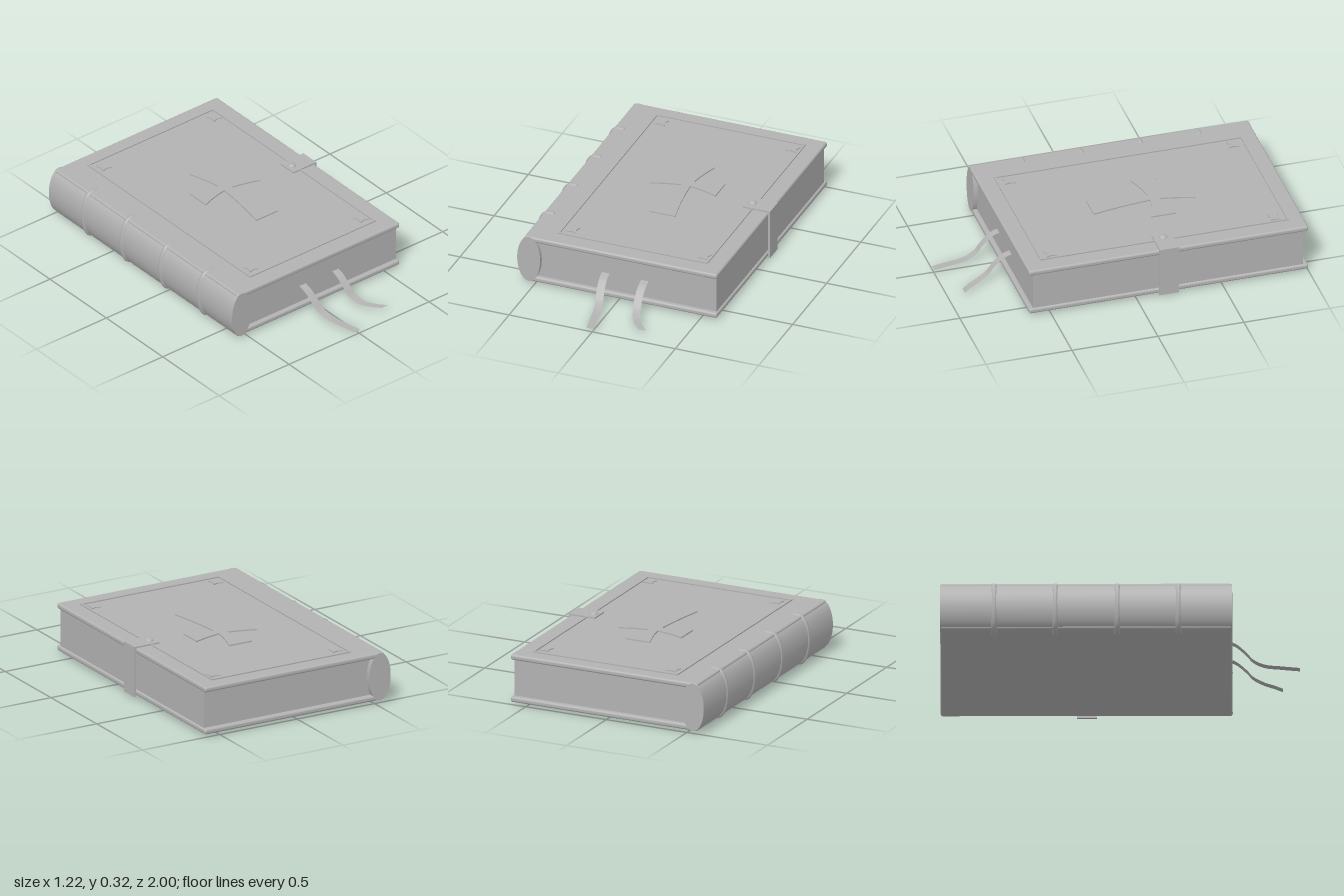
import * as THREE from 'three';
import { RoundedBoxGeometry } from 'three/addons/geometries/RoundedBoxGeometry.js';

export function createModel() {
  const book = new THREE.Group();
  book.name = 'book';
  const grey = new THREE.MeshStandardMaterial({ color: 0xb2b2b2, side: THREE.DoubleSide });
  grey.name = 'plain grey';

  const add = (name, geometry, x = 0, y = 0, z = 0) => {
    const mesh = new THREE.Mesh(geometry, grey);
    mesh.name = name;
    mesh.position.set(x, y, z);
    book.add(mesh);
    return mesh;
  };
  // Box given by its limits, with rounded edges when r > 0
  const block = (name, [x0, x1], [y0, y1], [z0, z1], r = 0) => {
    const size = [x1 - x0, y1 - y0, z1 - z0];
    const geometry = r ? new RoundedBoxGeometry(...size, 3, r) : new THREE.BoxGeometry(...size);
    return add(name, geometry, (x0 + x1) / 2, (y0 + y1) / 2, (z0 + z1) / 2);
  };
  // Flat plate lying on the cover; outline is given in (x, -z)
  const coverTop = 0.292;
  const plate = (name, shape, height, x = 0, z = 0) => {
    const geometry = new THREE.ExtrudeGeometry(shape, { depth: height, bevelEnabled: false, curveSegments: 8 });
    return add(name, geometry.rotateX(-Math.PI / 2), x, coverTop, z);
  };

  // Covers and page block
  block('bottomCover', [-0.565, 0.595], [0.013, 0.045], [-1, 0.625], 0.012);
  block('topCover', [-0.565, 0.595], [0.261, 0.293], [-1, 0.625], 0.012);
  block('pages', [-0.54, 0.585], [0.04, 0.265], [-0.97, 0.6]);

  // Oval spine
  const spine = new THREE.CylinderGeometry(1, 1, 1.625, 48).rotateX(Math.PI / 2).scale(0.069, 0.14, 1);
  add('spine', spine, -0.536, 0.152, -0.1875);

  // Raised bands wrapping the spine onto both covers
  const bandPoints = [new THREE.Vector3(-0.508, 0.282, 0)];
  for (let i = 0; i <= 12; i++) {
    const a = Math.PI / 2 + (i / 12) * Math.PI;
    bandPoints.push(new THREE.Vector3(-0.54 + 0.052 * Math.cos(a), 0.15 + 0.132 * Math.sin(a), 0));
  }
  bandPoints.push(new THREE.Vector3(-0.508, 0.018, 0));
  const bandPath = new THREE.CatmullRomCurve3(bandPoints);
  const bandGeometry = new THREE.TubeGeometry(bandPath, 48, 0.018, 12);
  for (const z of [-0.7, -0.36, -0.015, 0.325]) {
    add('spineBand', bandGeometry, 0, 0, z);
    for (const p of [bandPoints[0], bandPoints.at(-1)]) {
      add('spineBandEnd', new THREE.SphereGeometry(0.018, 12, 8).scale(0.4, 1, 1), p.x, p.y, z);
    }
  }

  // Narrow border frame
  const rect = (T, x0, x1, y0, y1) => {
    const s = new T();
    s.moveTo(x0, y0).lineTo(x1, y0).lineTo(x1, y1).lineTo(x0, y1).closePath();
    return s;
  };
  const frame = rect(THREE.Shape, -0.4, 0.5, -0.53, 0.915);
  frame.holes.push(rect(THREE.Path, -0.39, 0.49, -0.52, 0.905));
  plate('borderFrame', frame, 0.008);

  // Flared cross: each arm widens in a gentle curve towards its end
  const cross = new THREE.Shape();
  const waist = 0.026;
  const arms = [[0.196, 0.072], [0.222, 0.074], [0.196, 0.072], [0.37, 0.076]];
  cross.moveTo(waist, -waist);
  arms.forEach(([length, half], i) => {
    const a = (i * Math.PI) / 2;
    const turn = (u, v) => [u * Math.cos(a) - v * Math.sin(a), u * Math.sin(a) + v * Math.cos(a)];
    const mid = length * 0.55;
    cross.quadraticCurveTo(...turn(mid, -half * 0.52), ...turn(length, -half));
    cross.lineTo(...turn(length, half));
    cross.quadraticCurveTo(...turn(mid, half * 0.52), ...turn(waist, waist));
  });
  plate('cross', cross, 0.009, 0.058, -0.26);

  // Four-pointed corner stars with diagonal points
  const star = new THREE.Shape();
  for (let i = 0; i < 8; i++) {
    const r = i % 2 ? 0.021 : 0.044;
    const a = Math.PI / 4 + (i * Math.PI) / 4;
    star[i ? 'lineTo' : 'moveTo'](r * Math.cos(a), r * Math.sin(a));
  }
  star.closePath();
  for (const x of [-0.338, 0.452]) {
    for (const z of [-0.842, 0.46]) plate('cornerStar', star, 0.007, x, z);
  }

  // Clasp: strap down the fore edge, tab on the cover and a stud
  block('claspStrap', [0.594, 0.606], [0.006, 0.302], [-0.242, -0.13]);
  block('claspTab', [0.443, 0.606], [0.29, 0.302], [-0.246, -0.132]);
  const stud = new THREE.SphereGeometry(0.024, 20, 8, 0, Math.PI * 2, 0, Math.PI / 2).scale(1, 0.6, 1);
  add('claspStud', stud, 0.478, 0.301, -0.189);

  // Ribbon bookmarks: a flat strip swept along a curve
  const ribbon = (points) => {
    const path = new THREE.CatmullRomCurve3(points.map((p) => new THREE.Vector3(...p)));
    const geometry = new THREE.PlaneGeometry(0.046, 1, 1, 32);
    const pos = geometry.attributes.position;
    for (let i = 0; i < pos.count; i++) {
      const p = path.getPoint(0.5 - pos.getY(i));
      pos.setXYZ(i, pos.getX(i) + p.x, p.y, p.z);
    }
    geometry.computeVertexNormals();
    add('ribbonBookmark', geometry);
  };
  ribbon([[-0.082, 0.153, 0.59], [-0.08, 0.133, 0.645], [-0.072, 0.082, 0.705],
    [-0.064, 0.046, 0.74], [-0.05, 0.022, 0.8], [-0.032, 0.018, 0.9], [-0.012, 0.018, 1]]);
  ribbon([[0.153, 0.153, 0.59], [0.153, 0.133, 0.645], [0.156, 0.082, 0.705],
    [0.163, 0.046, 0.74], [0.185, 0.022, 0.8], [0.222, 0.018, 0.86], [0.262, 0.018, 0.905]]);

  return book;
}
